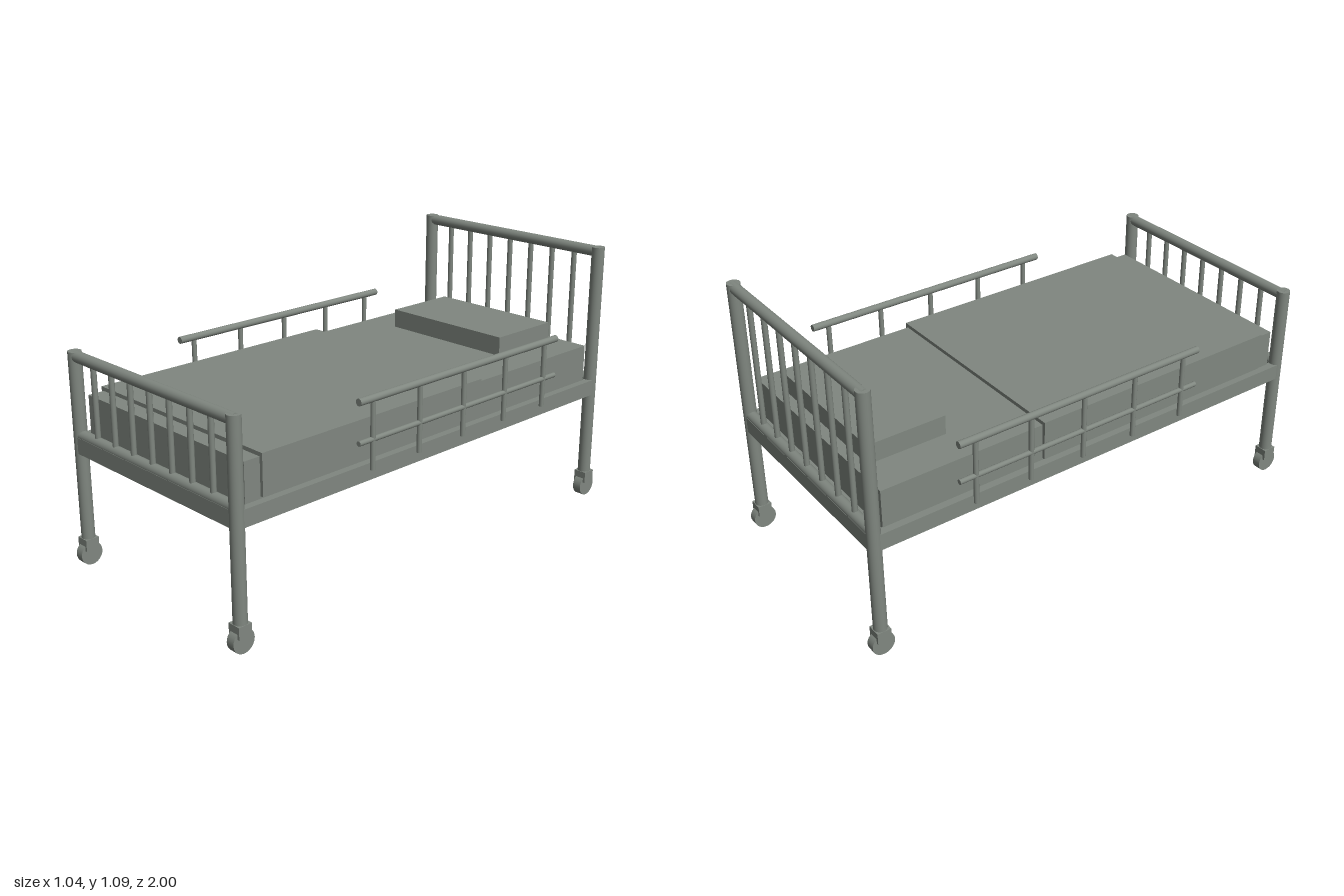
import * as THREE from 'three';

export function createModel() {
  const bed = new THREE.Group();
  bed.name = 'wardBed';
  const grey = new THREE.MeshStandardMaterial({ color: 0x808780 });
  grey.name = 'greyGreen';

  const add = (parent, name, geometry, x, y, z) => {
    const mesh = new THREE.Mesh(geometry, grey);
    mesh.name = name;
    mesh.position.set(x, y, z);
    parent.add(mesh);
    return mesh;
  };
  const box = (parent, name, w, h, d, x, y, z) =>
    add(parent, name, new THREE.BoxGeometry(w, h, d), x, y, z);
  // Round bar centred at a point and running along one axis
  const bar = (parent, name, axis, r, length, x, y, z, sides = 20) => {
    const g = new THREE.CylinderGeometry(r, r, length, sides);
    if (axis === 'x') g.rotateZ(Math.PI / 2);
    if (axis === 'z') g.rotateX(Math.PI / 2);
    return add(parent, name, g, x, y, z);
  };

  const postX = 0.457, postZ = 0.953;

  // Head and foot ends: posts, cross rails, spindles and casters
  const buildEnd = (name, z, top) => {
    const end = new THREE.Group();
    end.name = name;
    bed.add(end);
    for (const s of [-1, 1]) {
      const x = s * postX;
      bar(end, 'post', 'y', 0.026, top - 0.085, x, (top + 0.085) / 2, z, 24);
      box(end, 'casterFork', 0.055, 0.047, 0.056, x, 0.0865, z);
      bar(end, 'casterWheel', 'x', 0.046, 0.036, x, 0.046, z, 24);
    }
    bar(end, 'topRail', 'x', 0.022, 0.93, 0, top - 0.019, z);
    bar(end, 'lowerRail', 'x', 0.022, 0.91, 0, 0.527, z);
    box(end, 'endBeam', 0.9, 0.065, 0.046, 0, 0.4925, z);
    for (let i = -3; i <= 3; i++) {
      bar(end, 'spindle', 'y', 0.011, top - 0.55, i * 0.113, (top + 0.51) / 2, z, 12);
    }
  };
  buildEnd('headboard', -postZ, 1.087);
  buildEnd('footboard', postZ, 0.853);

  // Base frame
  const base = new THREE.Group();
  base.name = 'baseFrame';
  bed.add(base);
  for (const s of [-1, 1]) box(base, 'sideBeam', 0.034, 0.065, 1.9, s * 0.463, 0.4925, 0);
  box(base, 'deck', 0.9, 0.05, 1.87, 0, 0.493, 0);

  // Bedding
  box(bed, 'mattress', 0.9, 0.155, 1.824, 0, 0.5975, 0);
  box(bed, 'blanket', 0.926, 0.156, 1.085, 0, 0.612, 0.303);
  box(bed, 'pillow', 0.586, 0.08, 0.318, 0, 0.712, -0.707);

  // Side guards
  for (const s of [-1, 1]) {
    const guard = new THREE.Group();
    guard.name = s > 0 ? 'leftGuard' : 'rightGuard';
    bed.add(guard);
    const x = s * 0.504, z = -0.093;
    bar(guard, 'guardTopRail', 'z', 0.014, 1.085, x, 0.776, z);
    bar(guard, 'guardLowerRail', 'z', 0.01, 1.085, x, 0.625, z, 16);
    for (let i = -2; i <= 2; i++) {
      bar(guard, 'guardUpright', 'y', 0.01, 0.264, x, 0.642, z + i * 0.2365, 12);
    }
  }
  return bed;
}
